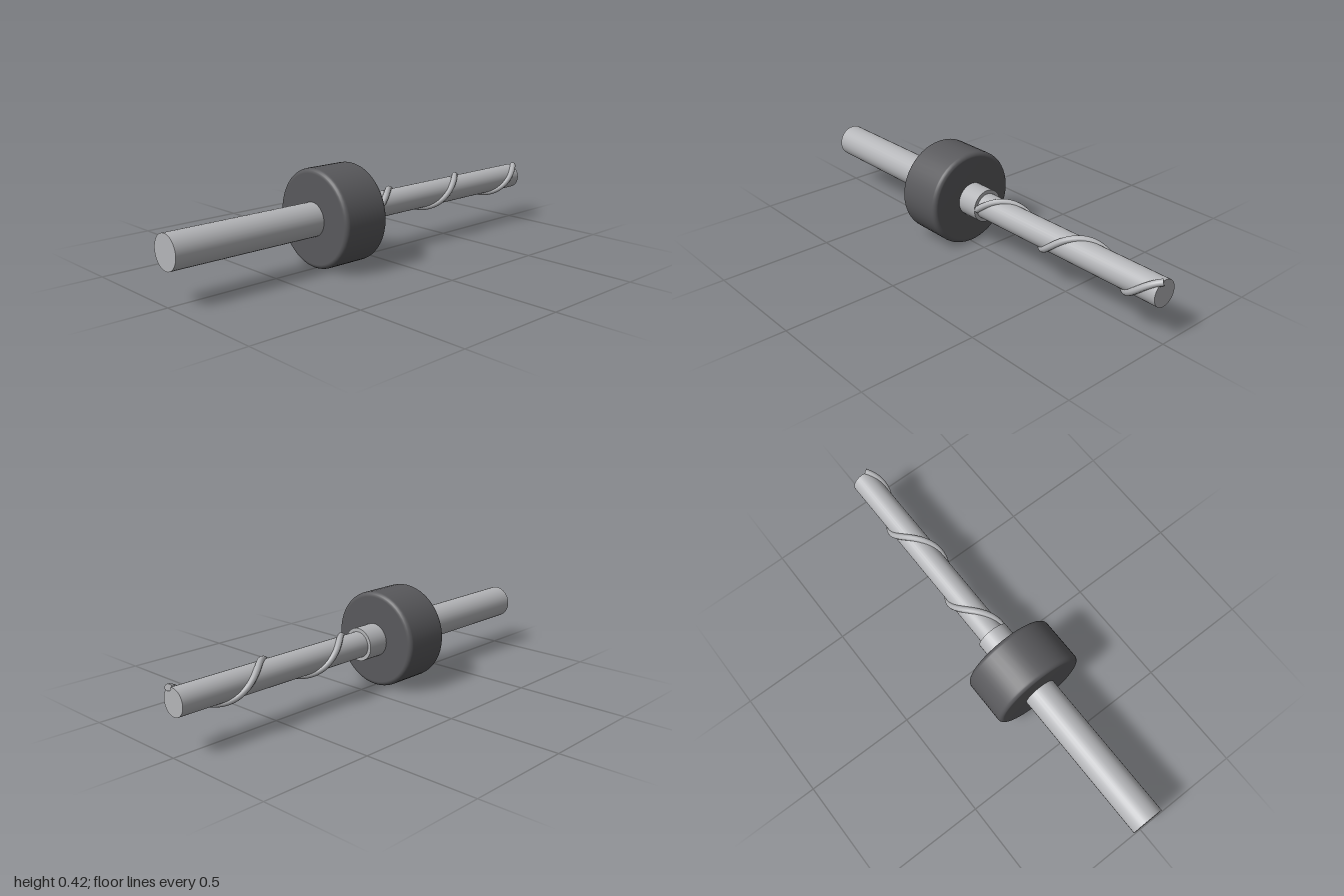
import * as THREE from 'three';

const AXIS_Y = 0.213;

export function createModel() {
  const model = new THREE.Group();
  const steel = new THREE.MeshStandardMaterial({ color: 0xb4b5b8 });
  const darkRubber = new THREE.MeshStandardMaterial({ color: 0x59595c });
  steel.name = 'steel';
  darkRubber.name = 'darkRubber';

  const add = (name, geometry, material) => {
    const mesh = new THREE.Mesh(geometry, material);
    mesh.name = name;
    mesh.position.y = AXIS_Y;
    model.add(mesh);
  };

  // Round bar lying along z between two stations
  const rod = (radius, z0, z1) =>
    new THREE.CylinderGeometry(radius, radius, z1 - z0, 32)
      .rotateX(Math.PI / 2)
      .translate(0, 0, (z0 + z1) / 2);

  add('handleShaft', rod(0.073, -0.02, 1), steel);
  add('drillShaft', rod(0.057, -0.985, 0), steel);

  // Collar: a thick disc with rounded rims
  const R = 0.212, back = 0.08, front = 0.305, bevel = 0.02;
  const profile = [new THREE.Vector2(0, back)];
  for (const [z, start] of [[back + bevel, -Math.PI / 2], [front - bevel, 0]]) {
    for (let i = 0; i <= 5; i++) {
      const a = start + (i / 5) * Math.PI / 2;
      profile.push(new THREE.Vector2(R - bevel + bevel * Math.cos(a), z + bevel * Math.sin(a)));
    }
  }
  profile.push(new THREE.Vector2(0, front));
  add('collar', new THREE.LatheGeometry(profile, 48).rotateX(Math.PI / 2), darkRubber);

  // Spiral ridge wound around the drill shaft
  const turns = 2.2, zStart = -0.02, zEnd = -0.99, wire = 0.014, helixRadius = 0.058;
  class Helix extends THREE.Curve {
    getPoint(t, target = new THREE.Vector3()) {
      const a = t * turns * Math.PI * 2;
      return target.set(
        helixRadius * Math.cos(a),
        helixRadius * Math.sin(a),
        THREE.MathUtils.lerp(zStart, zEnd, t));
    }
  }
  const helix = new Helix();
  add('spiralRidge', new THREE.TubeGeometry(helix, 120, wire, 10), steel);

  // Flat cap closing the free end of the ridge
  const cap = new THREE.CircleGeometry(wire, 10);
  cap.applyQuaternion(new THREE.Quaternion().setFromUnitVectors(
    new THREE.Vector3(0, 0, 1), helix.getTangent(1)));
  const tip = helix.getPoint(1);
  cap.translate(tip.x, tip.y, tip.z);
  add('ridgeEnd', cap, steel);

  return model;
}
